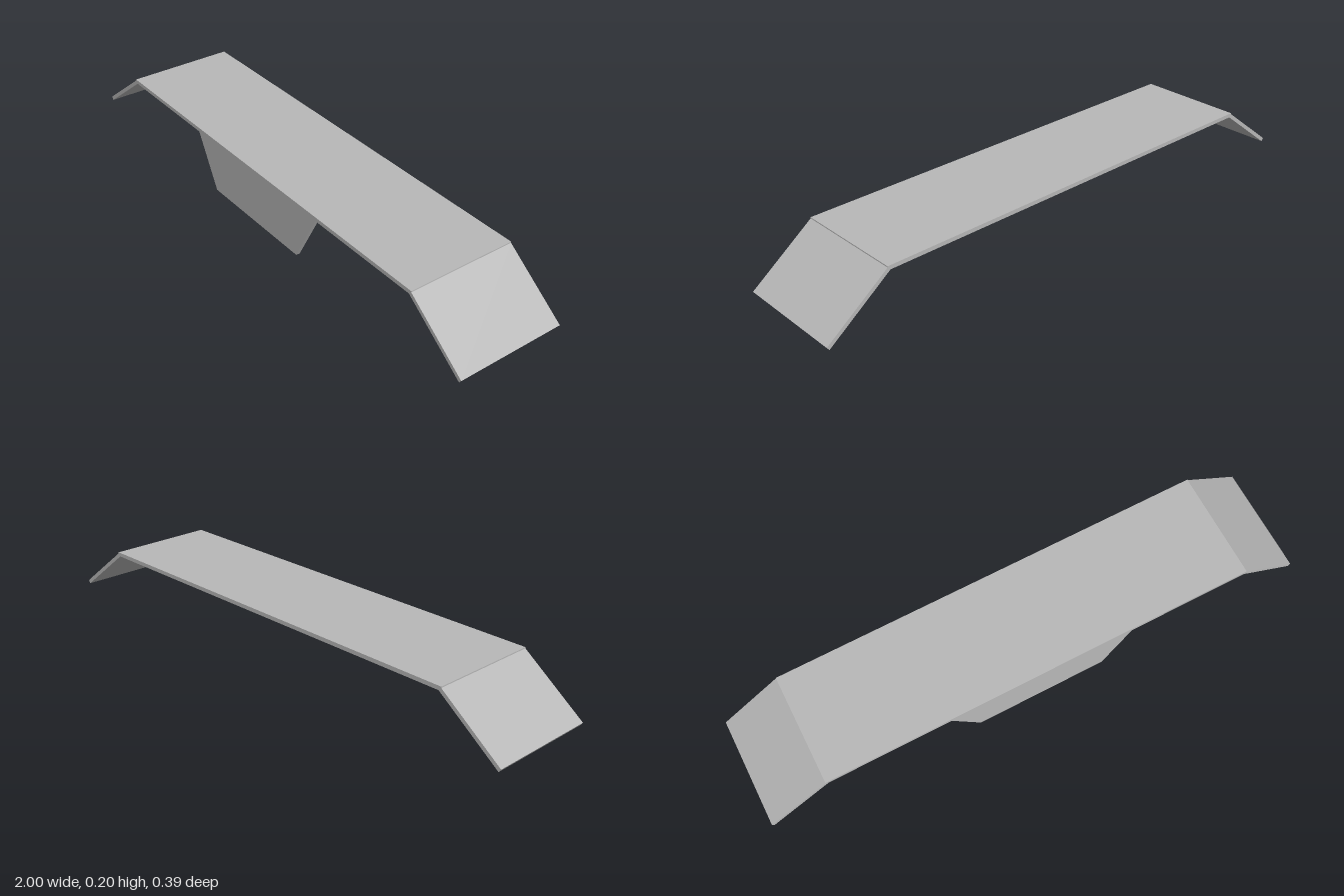
import * as THREE from 'three';

const DEPTH = 0.392;      // front to back
const THICK = 0.014;      // sheet thickness
const TOP = 0.204;        // deck height
const DECK_HALF = 0.779;  // half length of the flat deck

// Extrude a front outline between two z positions
function plate(name, points, z0, z1, material) {
  const shape = new THREE.Shape(points.map(([x, y]) => new THREE.Vector2(x, y)));
  const geometry = new THREE.ExtrudeGeometry(shape, { depth: z1 - z0, bevelEnabled: false });
  geometry.translate(0, 0, z0);
  const mesh = new THREE.Mesh(geometry, material);
  mesh.name = name;
  return mesh;
}

export function createModel() {
  const group = new THREE.Group();
  group.name = 'rampBridge';
  const grey = new THREE.MeshStandardMaterial({ color: 0xb8b8b8 });
  grey.name = 'plain grey';
  const half = DEPTH / 2;

  // Flat deck
  const deck = new THREE.Mesh(new THREE.BoxGeometry(DECK_HALF * 2, THICK, DEPTH), grey);
  deck.position.y = TOP - THICK / 2;
  deck.name = 'deck';
  group.add(deck);

  // Sloping ramps at both ends
  for (const side of [1, -1]) {
    const outline = [[0.771, 0.189], [0.992, 0.022], [1, 0.033], [DECK_HALF, 0.2]];
    group.add(plate(side > 0 ? 'leftRamp' : 'rightRamp',
      outline.map(([x, y]) => [x * side, y]), -half, half, grey));
  }

  // Tapered panel hanging below the front edge
  group.add(plate('frontPanel',
    [[-0.235, 0], [0.235, 0], [0.335, TOP - THICK], [-0.335, TOP - THICK]],
    half - THICK, half, grey));

  return group;
}
